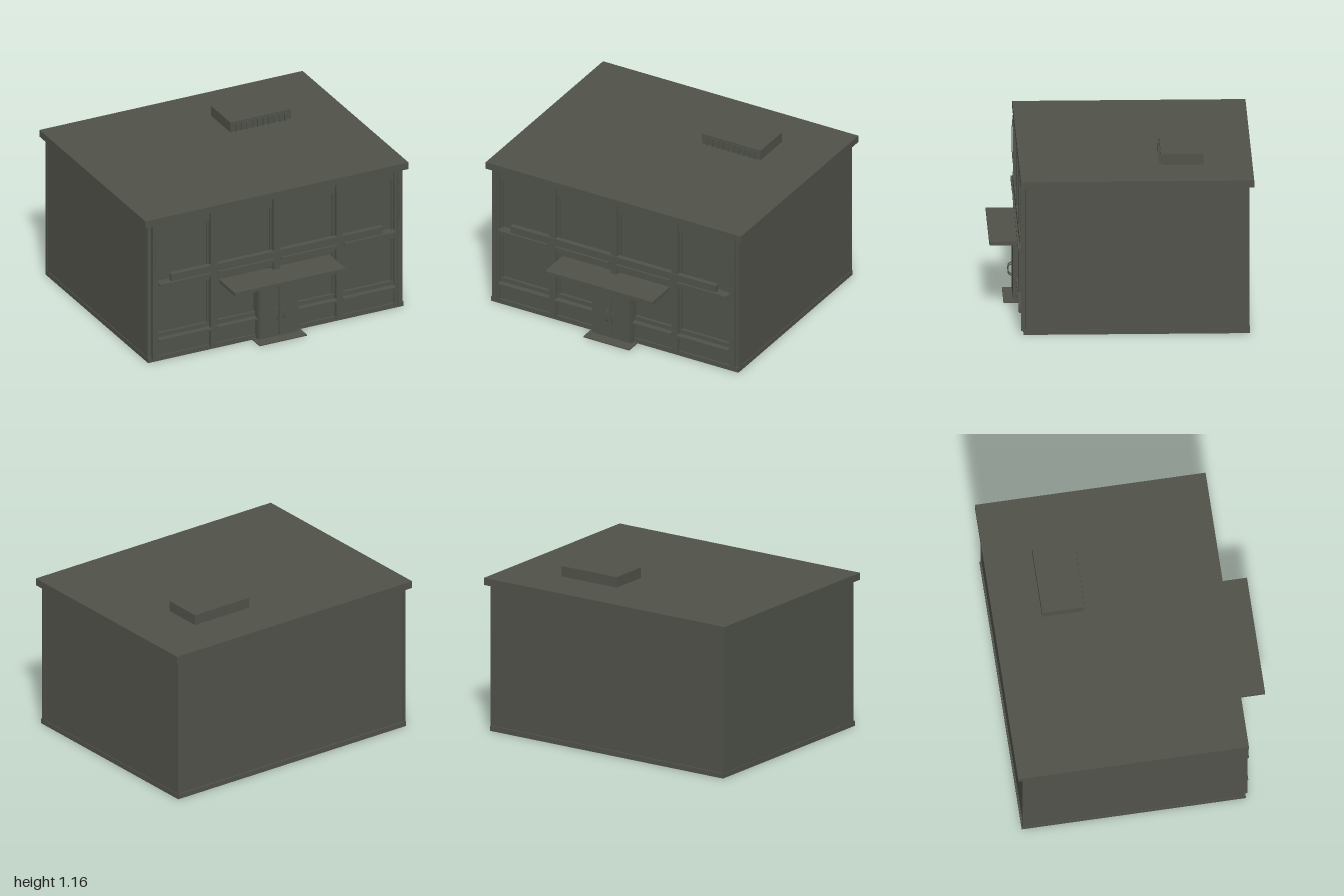
import * as THREE from 'three';

export function createModel() {
  const model = new THREE.Group();
  model.name = 'storefront';
  const paint = new THREE.MeshStandardMaterial({ color: 0x50534a });
  paint.name = 'dark olive grey';

  const add = (name, geometry) => {
    const mesh = new THREE.Mesh(geometry, paint);
    mesh.name = name;
    model.add(mesh);
    return mesh;
  };
  // Box given by its limits on each axis
  const box = (name, x0, x1, y0, y1, z0, z1) => {
    const mesh = add(name, new THREE.BoxGeometry(x1 - x0, y1 - y0, z1 - z0));
    mesh.position.set((x0 + x1) / 2, (y0 + y1) / 2, (z0 + z1) / 2);
    return mesh;
  };

  // Shell; its front face forms the recessed glazing
  box('walls', -0.965, 0.965, 0, 1.035, -0.85, 0.64);
  box('plinth', -0.97, 0.97, 0, 0.035, -0.862, 0.672);
  box('roof', -1, 1, 1.033, 1.083, -0.89, 0.69);

  // Corner trims and paired end columns
  for (const s of [-1, 1]) {
    const side = (name, a, b, y0, y1, z0, z1) =>
      box(name, Math.min(s * a, s * b), Math.max(s * a, s * b), y0, y1, z0, z1);
    side('rearCornerTrim', 0.95, 0.969, 0.03, 1.035, -0.857, -0.842);
    side('frontCorner', 0.935, 0.969, 0.03, 1.035, 0.62, 0.66);
    side('endColumnOuter', 0.92, 0.943, 0.02, 1.035, 0.64, 0.688);
    side('endColumnInner', 0.9, 0.92, 0.02, 1.035, 0.64, 0.68);
    // Slim bowed cable on each end column
    const curve = new THREE.QuadraticBezierCurve3(
      new THREE.Vector3(s * 0.925, 1.03, 0.682),
      new THREE.Vector3(s * 0.925, 0.84, 0.708),
      new THREE.Vector3(s * 0.925, 0.64, 0.682));
    add('cable', new THREE.TubeGeometry(curve, 12, 0.004, 6));
  }

  // Columns between the bays
  for (const x of [-0.478, 0, 0.478])
    box('column', x - 0.024, x + 0.024, 0.02, 1.035, 0.64, 0.69);

  // Four bays: frames, spandrels, sills and ledges
  const bays = [[-0.9, -0.502], [-0.454, -0.024], [0.024, 0.454], [0.502, 0.9]];
  for (const [a, b] of bays) {
    box('header', a, b, 0.965, 1.035, 0.635, 0.665);
    box('spandrel', a, b, 0.522, 0.587, 0.635, 0.668);
    box('ledge', a + 0.005, b - 0.005, 0.573, 0.588, 0.66, 0.706);
    box('lowerPanel', a, b, 0.03, 0.2, 0.635, 0.66);
    box('sill', a, b, 0.155, 0.169, 0.655, 0.7);
    for (const [y0, y1] of [[0.587, 0.965], [0.2, 0.522]]) {
      box('windowJamb', a, a + 0.013, y0, y1, 0.635, 0.655);
      box('windowJamb', b - 0.013, b, y0, y1, 0.635, 0.655);
    }
  }

  // Blank fascia, canopy and doorstep
  box('fascia', -0.803, 0.803, 0.55, 0.642, 0.66, 0.687);
  box('fasciaTop', -0.803, 0.803, 0.59, 0.642, 0.66, 0.695);
  box('canopy', -0.42, 0.42, 0.474, 0.5, 0.65, 0.887);
  box('doorstep', -0.18, 0.18, 0, 0.008, 0.64, 0.785);

  // Double doors with bowed handles
  box('doorFrame', -0.152, 0.152, 0.008, 0.418, 0.64, 0.708);
  for (const s of [-1, 1]) {
    box('door', s < 0 ? -0.149 : 0.002, s < 0 ? -0.002 : 0.149, 0.02, 0.414, 0.7, 0.72);
    const grip = new THREE.CatmullRomCurve3([[0.235, 0.718], [0.22, 0.744], [0.19, 0.75], [0.16, 0.744], [0.145, 0.718]]
      .map(([y, z]) => new THREE.Vector3(s * 0.024, y, z)));
    add('doorHandle', new THREE.TubeGeometry(grip, 16, 0.004, 6));
  }

  // Rooftop unit with vertical louvres
  box('roofUnit', 0.135, 0.595, 1.08, 1.157, -0.557, -0.27);
  for (let i = 0; i < 10; i++) {
    const x = 0.18 + i * 0.041;
    box('louvre', x - 0.005, x + 0.005, 1.083, 1.143, -0.272, -0.258);
  }
  return model;
}
